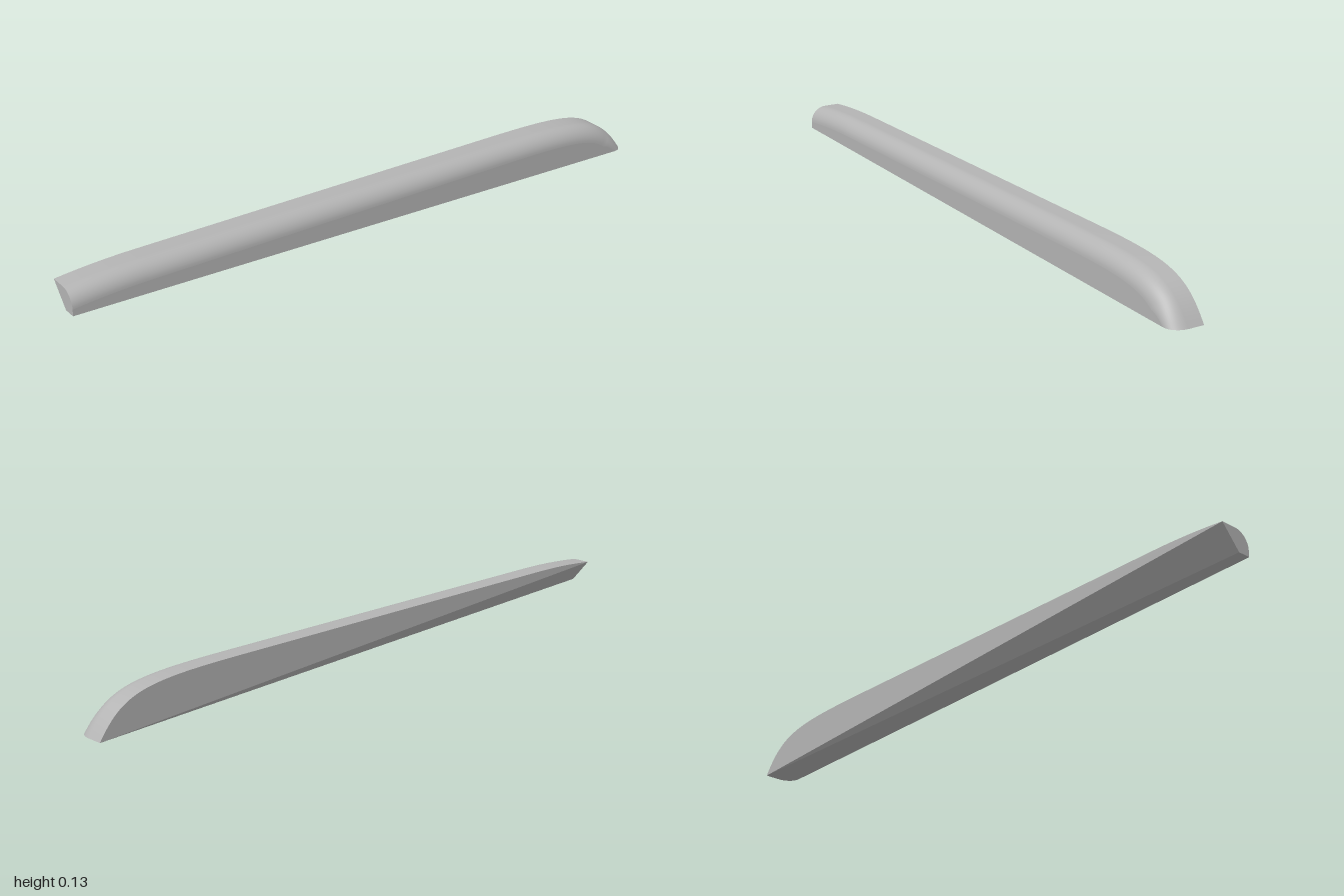
import * as THREE from 'three';

const R = 0.05; // rolled edge radius and half depth
const bottomY = (x) => 0.025 * (1 - x);

// Crest line from the tail to the nose tip
function crestLine() {
  const path = new THREE.CurvePath();
  const v = (x, y) => new THREE.Vector2(x, y);
  path.add(new THREE.QuadraticBezierCurve(v(-1, 0.12), v(-0.88, 0.133), v(-0.75, 0.133)));
  path.add(new THREE.LineCurve(v(-0.75, 0.133), v(0.5, 0.133)));
  path.add(new THREE.CubicBezierCurve(v(0.5, 0.133), v(0.85, 0.133), v(0.92, 0.12), v(1, 0)));
  const steps = [10, 6, 32], out = [];
  path.curves.forEach((c, k) => {
    for (let i = k ? 1 : 0; i <= steps[k]; i++) {
      const p = c.getPoint(i / steps[k]), t = c.getTangent(i / steps[k]);
      out.push({ p, n: v(Math.max(-t.y, 0), t.x) });
    }
  });
  return out;
}

// Flat convex face fanned from its first corner
function fan(points) {
  const tri = [];
  for (let i = 1; i < points.length - 1; i++) tri.push(points[0], points[i], points[i + 1]);
  const g = new THREE.BufferGeometry().setFromPoints(tri);
  g.computeVertexNormals();
  return g;
}

export function createModel() {
  const group = new THREE.Group();
  group.name = 'taperedBar';
  const grey = new THREE.MeshStandardMaterial({ color: 0xb4b4b4 });
  grey.name = 'grey';
  const add = (name, geometry) => {
    const mesh = new THREE.Mesh(geometry, grey);
    mesh.name = name;
    group.add(mesh);
  };

  // Rows across the depth: flat at the back, then a quarter round to the front
  const rows = [{ z: -R, d: 0 }];
  for (let k = 0; k <= 12; k++) {
    const a = (k / 12) * Math.PI / 2;
    rows.push({ z: R * Math.sin(a), d: R * (1 - Math.cos(a)) });
  }
  const grid = crestLine().map(({ p, n }) => rows.map(({ z, d }) => {
    const lift = Math.min(1, Math.max(0, p.y - bottomY(p.x)) / 0.07);
    const x = p.x - n.x * d;
    return new THREE.Vector3(x, Math.max(bottomY(x), p.y - n.y * d * lift), z);
  }));

  // Smooth top, nose and rolled front edge
  const m = rows.length, index = [];
  for (let i = 0; i < grid.length - 1; i++) {
    for (let j = 0; j < m - 1; j++) {
      const a = i * m + j, b = a + 1, c = a + m, d = c + 1;
      index.push(a, b, c, b, d, c);
    }
  }
  const skin = new THREE.BufferGeometry().setFromPoints(grid.flat());
  skin.setIndex(index);
  skin.computeVertexNormals();
  add('roundedTop', skin);

  // Flat faces that close the bar
  const tail = grid[0], nose = grid[grid.length - 1];
  const frontLow = new THREE.Vector3(-1, 0.05, R);
  const chamferLow = new THREE.Vector3(-1, 0.05, 0.01);
  add('frontFace', fan([frontLow, ...grid.map((r) => r[m - 1]).reverse()]));
  add('backFace', fan(grid.map((r) => r[0])));
  add('bottomFace', fan([chamferLow, ...nose, frontLow]));
  add('backChamfer', fan([nose[0], chamferLow, tail[0]]));
  add('tailCap', fan([chamferLow, frontLow, ...tail.slice().reverse()]));
  return group;
}
